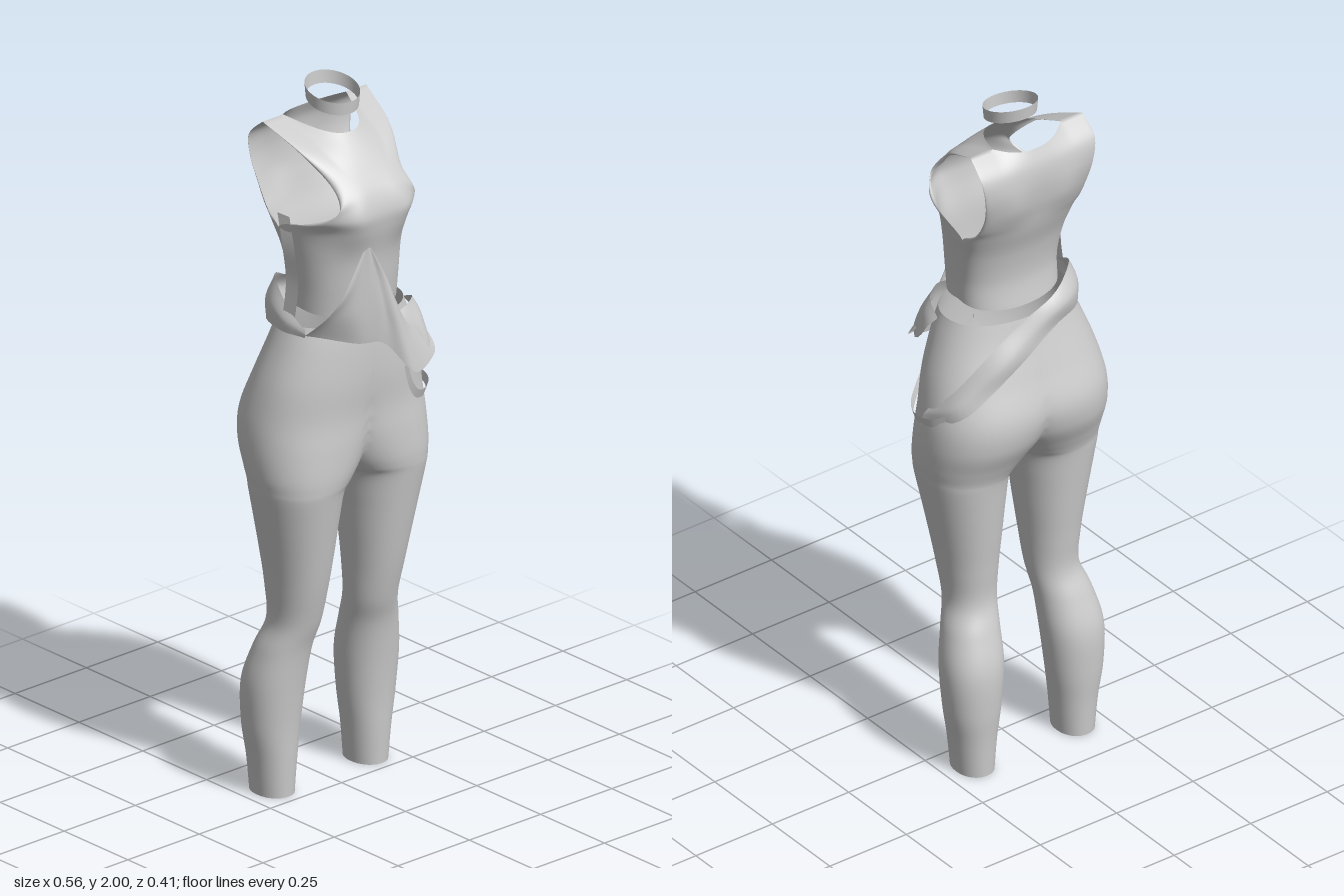
import * as THREE from 'three';
import { mergeGeometries, mergeVertices } from 'three/addons/utils/BufferGeometryUtils.js';

const material = new THREE.MeshStandardMaterial({ color: 0xcccccc, side: THREE.DoubleSide });

// Smooth interpolation through rows of numbers, t in 0..1
function spline(rows, t) {
  const n = rows.length - 1;
  const i = Math.min(Math.floor(t * n), n - 1);
  const f = t * n - i;
  const b = rows[i], c = rows[i + 1];
  const a = rows[Math.max(i - 1, 0)], d = rows[Math.min(i + 2, n)];
  return b.map((_, k) => b[k] + 0.5 * f * (c[k] - a[k]
    + f * (2 * a[k] - 5 * b[k] + 4 * c[k] - d[k] + f * (3 * (b[k] - c[k]) + d[k] - a[k]))));
}

// Grid surface from point(u, v); triangles lying on the mid plane can be dropped
function surface(point, nu, nv, dropMiddle = false) {
  const pos = [], index = [];
  for (let j = 0; j <= nv; j++)
    for (let i = 0; i <= nu; i++) pos.push(...point(i / nu, j / nv));
  const add = (...t) => {
    if (!dropMiddle || t.some(k => Math.abs(pos[3 * k]) > 1e-5)) index.push(...t);
  };
  for (let j = 0; j < nv; j++)
    for (let i = 0; i < nu; i++) {
      const a = j * (nu + 1) + i, b = a + 1, c = b + nu + 1, d = a + nu + 1;
      add(a, b, c);
      add(a, c, d);
    }
  const g = new THREE.BufferGeometry();
  g.setAttribute('position', new THREE.Float32BufferAttribute(pos, 3));
  g.setIndex(index);
  return g;
}

function mesh(name, ...geometries) {
  const g = mergeVertices(mergeGeometries(geometries), 1e-4);
  g.computeVertexNormals();
  const m = new THREE.Mesh(g, material);
  m.name = name;
  return m;
}

// Cloth through a few control paths, with soft folds
function cloth(name, paths, fold = 0, folds = 5, nu = 36, nv = 24) {
  return mesh(name, surface((u, v) => {
    const p = spline(paths.map(path => spline(path, v)), u);
    p[2] += fold * Math.sin(u * folds * Math.PI * 2 + v * 3) * Math.sin(v * Math.PI * 0.7);
    return p;
  }, nu, nv));
}

// Ribbon of a given drop along a path
function ribbon(name, path, width, axis) {
  const far = path.map(p => p.map((c, k) => c + axis[k] * width));
  return cloth(name, [path, far], 0, 0, 2, 40);
}

// Leggings rings: height, inner x, outer x, front z, back z
const legRings = [
  [1.365, -0.185, 0.185, 0.12, -0.13],
  [1.30, -0.19, 0.212, 0.125, -0.145],
  [1.20, -0.18, 0.248, 0.125, -0.175],
  [1.10, -0.14, 0.27, 0.118, -0.205],
  [1.02, -0.09, 0.277, 0.12, -0.198],
  [0.95, -0.035, 0.274, 0.12, -0.168],
  [0.91, 0.0, 0.268, 0.117, -0.152],
  [0.88, 0.024, 0.263, 0.112, -0.146],
  [0.80, 0.036, 0.247, 0.098, -0.137],
  [0.70, 0.046, 0.228, 0.08, -0.126],
  [0.60, 0.056, 0.212, 0.06, -0.115],
  [0.50, 0.064, 0.204, 0.035, -0.11],
  [0.42, 0.073, 0.228, 0.012, -0.138],
  [0.32, 0.078, 0.248, -0.003, -0.167],
  [0.20, 0.09, 0.243, -0.015, -0.168],
  [0.10, 0.103, 0.227, -0.02, -0.16],
  [0.0, 0.112, 0.216, -0.025, -0.155],
];

function leggings() {
  const soft = c => Math.sign(c) * Math.abs(c) ** 0.93;
  // Above the crotch each half is clamped to the mid plane, where the halves join
  const half = side => surface((u, v) => {
    const [y, xi, xo, zf, zb] = spline(legRings, v);
    const a = (side > 0 ? u : 1 - u) * Math.PI * 2;
    const x = (xi + xo) / 2 + (xo - xi) / 2 * soft(Math.cos(a));
    const z = (zf + zb) / 2 + (zf - zb) / 2 * soft(Math.sin(a));
    return [side * Math.max(x, 0), y, z];
  }, 56, 96, true);
  return mesh('leggings', half(1), half(-1));
}

// Top rows: half width, middle y, middle z, edge y, edge z, neckline amount
const topFront = [
  [0.148, 1.39, 0.13, 1.405, 0, 0],
  [0.15, 1.47, 0.14, 1.47, 0, 0],
  [0.16, 1.56, 0.15, 1.56, -0.02, 0],
  [0.172, 1.64, 0.168, 1.625, -0.05, 0],
  [0.168, 1.69, 0.172, 1.665, 0.06, 0],
  [0.132, 1.74, 0.155, 1.705, 0.14, 0],
  [0.118, 1.79, 0.118, 1.765, 0.105, 0],
  [0.155, 1.835, 0.08, 1.85, 0.015, 0.4],
  [0.182, 1.875, 0.04, 1.91, -0.1, 1],
];
const topBack = [
  [0.148, 1.39, -0.11, 1.405, 0, 0],
  [0.15, 1.47, -0.1, 1.47, 0, 0],
  [0.16, 1.56, -0.112, 1.56, -0.02, 0],
  [0.172, 1.64, -0.137, 1.625, -0.05, 0],
  [0.165, 1.69, -0.15, 1.66, -0.1, 0],
  [0.165, 1.74, -0.161, 1.72, -0.135, 0],
  [0.175, 1.8, -0.167, 1.79, -0.155, 0],
  [0.185, 1.85, -0.162, 1.86, -0.15, 0.3],
  [0.182, 1.893, -0.143, 1.91, -0.1, 1],
];

function sleevelessTop() {
  const panel = (rows, dir) => surface((u, v) => {
    const [w, yc, zc, ye, ze, neck] = spline(rows, v);
    const a = dir * (u - 0.5) * Math.PI, s = Math.sin(a);
    const round = 1 - Math.max(Math.cos(a), 0) ** 0.75;
    const scoop = Math.min(1, (Math.abs(s) / 0.6) ** 2.4);
    const f = THREE.MathUtils.lerp(round, scoop, THREE.MathUtils.clamp(neck, 0, 1));
    // Bust in front, shoulder blades behind
    const height = dir > 0 ? 1.66 : 1.74;
    const bump = dir * (dir > 0 ? 0.016 : 0.007)
      * Math.exp(-(((Math.abs(s) - 0.5) / 0.27) ** 2) - ((yc - height) / 0.07) ** 2);
    return [w * s - 0.006, yc + (ye - yc) * f, zc + (ze - zc) * f + bump];
  }, 48, 64);
  return mesh('sleevelessTop', panel(topFront, 1), panel(topBack, -1));
}

function collar() {
  const g = new THREE.CylinderGeometry(0.073, 0.07, 0.036, 48, 1, true);
  const p = g.attributes.position;
  for (let i = 0; i < p.count; i++) p.setY(i, p.getY(i) - p.getZ(i) * 0.27);
  g.computeVertexNormals();
  const m = new THREE.Mesh(g, material);
  m.name = 'collar';
  m.position.set(-0.006, 1.962, -0.03);
  return m;
}

function sash() {
  const group = new THREE.Group();
  group.name = 'sash';
  group.add(
    // Hanging from the bust and swept to the left hip
    cloth('frontDrape', [
      [[-0.085, 1.6, 0.18], [-0.14, 1.49, 0.165], [-0.17, 1.42, 0.13], [-0.192, 1.355, 0.07]],
      [[-0.08, 1.605, 0.185], [-0.1, 1.5, 0.18], [-0.11, 1.42, 0.17], [-0.1, 1.335, 0.155]],
      [[-0.072, 1.61, 0.187], [-0.05, 1.51, 0.182], [-0.02, 1.4, 0.175], [0, 1.31, 0.17]],
      [[-0.068, 1.61, 0.187], [-0.02, 1.5, 0.175], [0.03, 1.36, 0.18], [0.08, 1.215, 0.195]],
      [[-0.062, 1.605, 0.184], [0.01, 1.49, 0.17], [0.08, 1.33, 0.175], [0.18, 1.225, 0.165]],
      [[-0.06, 1.6, 0.18], [0.025, 1.46, 0.16], [0.09, 1.34, 0.15], [0.2, 1.27, 0.11]],
    ], 0.006, 3),
    // Gathered at the left waist
    cloth('sidePouch', [
      [[0.075, 1.365, 0.135], [0.06, 1.32, 0.15], [0.07, 1.25, 0.165], [0.1, 1.2, 0.175]],
      [[0.12, 1.375, 0.125], [0.13, 1.32, 0.15], [0.15, 1.26, 0.16], [0.15, 1.21, 0.165]],
      [[0.17, 1.37, 0.085], [0.185, 1.33, 0.1], [0.195, 1.27, 0.115], [0.19, 1.235, 0.13]],
      [[0.186, 1.345, 0.03], [0.202, 1.32, 0.045], [0.21, 1.29, 0.06], [0.205, 1.26, 0.09]],
    ], 0.005, 2),
    // Around the back, from the right waist down to the left hip
    cloth('backWrap', [
      [[-0.192, 1.37, 0.07], [-0.194, 1.36, 0.07], [-0.194, 1.35, 0.07]],
      [[-0.182, 1.41, -0.01], [-0.198, 1.38, -0.01], [-0.2, 1.345, -0.01]],
      [[-0.145, 1.46, -0.1], [-0.165, 1.4, -0.115], [-0.165, 1.34, -0.11]],
      [[-0.06, 1.42, -0.15], [-0.06, 1.38, -0.17], [-0.06, 1.33, -0.165]],
      [[0.06, 1.37, -0.155], [0.06, 1.32, -0.175], [0.06, 1.27, -0.175]],
      [[0.16, 1.29, -0.14], [0.165, 1.24, -0.165], [0.165, 1.19, -0.17]],
      [[0.235, 1.19, -0.095], [0.245, 1.16, -0.115], [0.245, 1.12, -0.12]],
      [[0.264, 1.13, -0.035], [0.274, 1.11, -0.03], [0.278, 1.075, -0.02]],
    ], 0.005, 4),
    // Loose loop over the left hip
    ribbon('hipLoop', [
      [0.055, 1.23, 0.185], [0.085, 1.16, 0.17], [0.13, 1.11, 0.145], [0.19, 1.085, 0.105],
      [0.25, 1.075, 0.05], [0.275, 1.075, 0], [0.272, 1.085, -0.06], [0.245, 1.12, -0.12],
    ], 0.026, [0.2, 0.9, 0.2]),
    // Strap hanging from the right armhole to the waist
    ribbon('sideStrap', [
      [-0.172, 1.66, -0.06], [-0.182, 1.58, -0.03], [-0.182, 1.48, -0.015], [-0.192, 1.37, -0.02],
    ], 0.045, [0.05, 0, 1]),
  );
  return group;
}

export function createModel() {
  const model = new THREE.Group();
  model.name = 'outfit';
  model.add(leggings(), sleevelessTop(), collar(), sash());
  return model;
}
